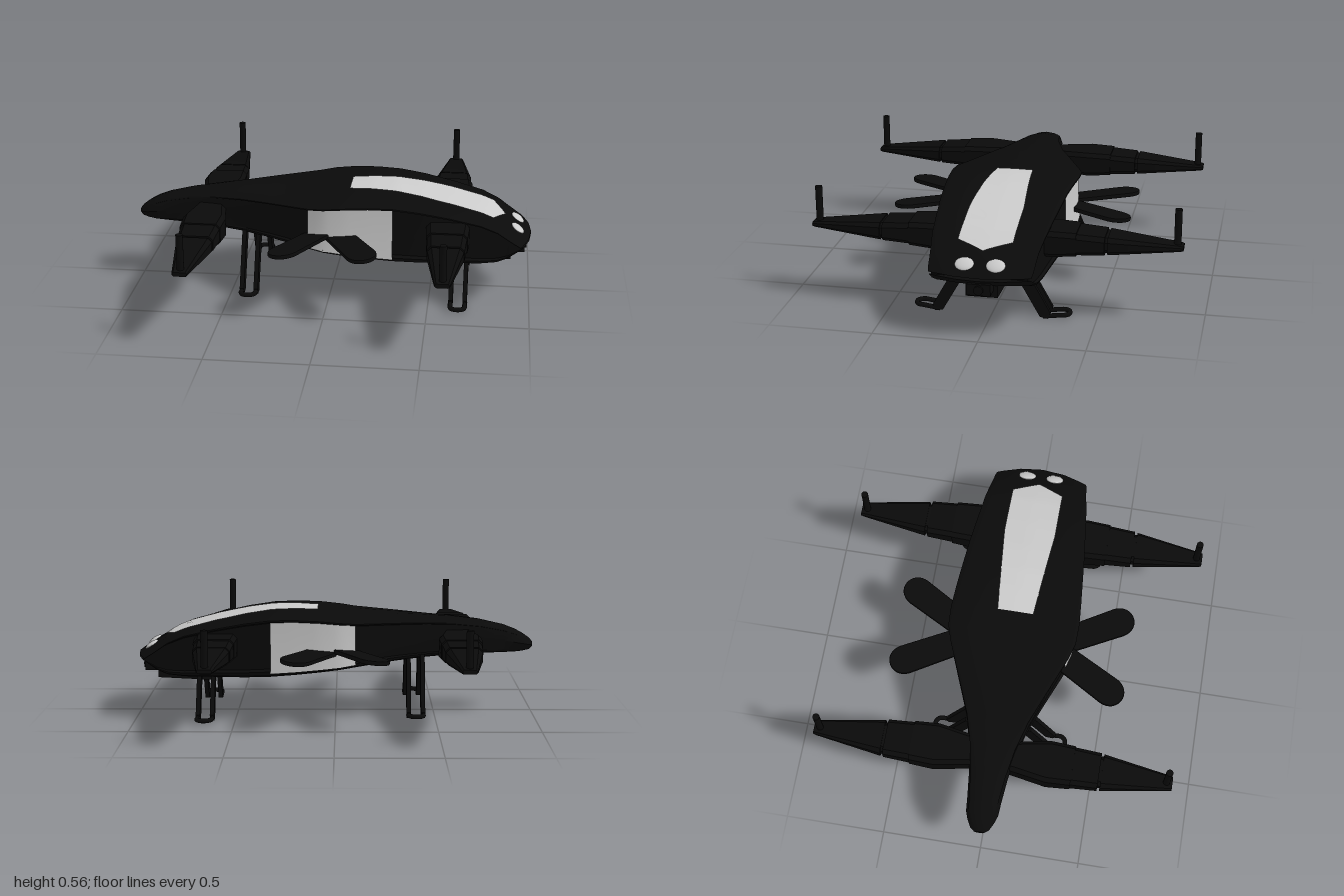
import * as THREE from 'three';
import { toCreasedNormals } from 'three/addons/utils/BufferGeometryUtils.js';

const black = new THREE.MeshStandardMaterial({ color: 0x0a0a0a });
const grey = new THREE.MeshStandardMaterial({ color: 0xcccccc, side: THREE.DoubleSide });

function mesh(name, geometry, material = black) {
  const m = new THREE.Mesh(geometry, material);
  m.name = name;
  return m;
}

// Skin stretched over rows of points; closed rows wrap round
function loft(rows, closed = true, crease = 0.6) {
  const n = rows[0].length, idx = [];
  for (let i = 0; i < rows.length - 1; i++) {
    for (let j = 0; j < (closed ? n : n - 1); j++) {
      const a = i * n + j, b = i * n + (j + 1) % n;
      idx.push(a, b, a + n, b, b + n, a + n);
    }
  }
  const g = new THREE.BufferGeometry();
  g.setAttribute('position', new THREE.Float32BufferAttribute(rows.flat(2), 3));
  g.setIndex(idx);
  return toCreasedNormals(g, crease);
}

// Close both ends of a loft with collapsed rows
function capped(rows) {
  const cap = (r) => {
    const c = [0, 1, 2].map((k) => r.reduce((s, p) => s + p[k], 0) / r.length);
    return r.map(() => c);
  };
  return [cap(rows[0]), ...rows, cap(rows[rows.length - 1])];
}

// Fuselage stations: x, half width, bottom, top, roundness
const hull = [
  [-1, 0.025, 0.335, 0.36, 1], [-0.985, 0.045, 0.32, 0.378, 1], [-0.95, 0.065, 0.312, 0.403, 0.9],
  [-0.91, 0.08, 0.308, 0.425, 0.8], [-0.85, 0.085, 0.305, 0.448, 0.7], [-0.73, 0.098, 0.302, 0.475, 0.55],
  [-0.6, 0.12, 0.3, 0.49, 0.4], [-0.45, 0.16, 0.296, 0.498, 0.25], [-0.3, 0.215, 0.29, 0.503, 0.1],
  [-0.1, 0.29, 0.272, 0.51, 0], [-0.02, 0.315, 0.262, 0.52, 0], [0.08, 0.318, 0.25, 0.531, 0],
  [0.2, 0.31, 0.236, 0.537, 0], [0.32, 0.3, 0.225, 0.534, 0], [0.45, 0.29, 0.22, 0.515, 0],
  [0.6, 0.275, 0.22, 0.483, 0], [0.75, 0.26, 0.22, 0.443, 0], [0.85, 0.248, 0.228, 0.403, 0],
  [0.92, 0.243, 0.25, 0.364, 0], [0.97, 0.24, 0.28, 0.333, 0], [1, 0.235, 0.3, 0.312, 0],
];

function station(x) {
  let i = 0;
  while (i < hull.length - 2 && hull[i + 1][0] < x) i++;
  const t = (x - hull[i][0]) / (hull[i + 1][0] - hull[i][0]);
  return hull[i].map((v, k) => v + (hull[i + 1][k] - v) * t);
}

// Point on the hull: u across (-1..1), v from bottom to top (0..1)
function skin(x, u, v) {
  const [, w, lo, hi, round] = station(x);
  const y = v * 2 - 1, l = Math.hypot(u, y);
  const k = 1 + (1 / l - 1) * round;
  const bow = 0.05 * u * u * THREE.MathUtils.smoothstep(x, 0.75, 1);
  return [x - bow, (lo + hi) / 2 + y * k * (hi - lo) / 2, u * k * w];
}

// Hull cross-section with a roof lip, recessed side and lower sill
const half = [[0.5, 0.99], [0.9, 0.965], [0.98, 0.95], [1.02, 0.93], [1.02, 0.905], [0.95, 0.88],
  [0.95, 0.5], [0.95, 0.14], [1, 0.1], [0.98, 0.04], [0.88, 0], [0.45, 0]];
const section = [[0, 1], ...half, [0, 0], ...half.map(([u, v]) => [-u, v]).reverse()];

// Eight-sided wing segment; stations: z, half chord, bottom, top
function wingPart(stations) {
  return loft(capped(stations.map(([z, h, lo, hi]) => {
    const c = Math.min(0.02, (hi - lo) * 0.3);
    return [[h, lo + c], [h, hi - c], [h - c, hi], [c - h, hi],
      [-h, hi - c], [-h, lo + c], [c - h, lo], [h - c, lo]].map(([x, y]) => [x, y, z]);
  })), true, 0.4);
}

function makeWing() {
  const g = new THREE.Group();
  g.add(mesh('wingRoot', wingPart([[0, 0.06, 0.32, 0.43], [0.1, 0.075, 0.318, 0.435],
    [0.28, 0.106, 0.313, 0.44], [0.4, 0.1, 0.322, 0.436]])));
  g.add(mesh('wingMiddle', wingPart([[0.4, 0.096, 0.327, 0.43], [0.532, 0.09, 0.333, 0.422]])));
  g.add(mesh('wingHinge', wingPart([[0.52, 0.076, 0.34, 0.415], [0.56, 0.076, 0.34, 0.415]])));
  g.add(mesh('wingOuter', wingPart([[0.545, 0.087, 0.334, 0.42], [0.88, 0.038, 0.361, 0.388],
    [0.893, 0.034, 0.364, 0.384]])));
  const mast = mesh('rotorMast', new THREE.CylinderGeometry(0.017, 0.017, 0.19, 20));
  mast.position.set(0, 0.465, 0.863);
  g.add(mast);
  return g;
}

// Leg: two slanted rails joined by a rounded skid
function makeLeg(top, base, reach) {
  const g = new THREE.Group();
  const s = new THREE.Shape([[0.1, top], [0.165, top], [0.285, base + 0.035], [0.275, base + 0.005],
    [0.235, base + 0.012]].map((p) => new THREE.Vector2(...p)));
  for (const x of [-0.035, 0.035]) {
    const rail = mesh('legRail', new THREE.ExtrudeGeometry(s, { depth: 0.022, bevelEnabled: false }));
    rail.rotation.y = -Math.PI / 2;
    rail.position.x = x + 0.011;
    g.add(rail);
  }
  const path = new THREE.CurvePath();
  const r = 0.036, y0 = base + 0.013, y1 = base + 0.025, ze = reach - 0.013 - r;
  const P = (x, y, z) => new THREE.Vector3(x, y, z);
  path.add(new THREE.LineCurve3(P(-r, y0, 0.25), P(-r, y1, ze)));
  path.add(new THREE.CubicBezierCurve3(P(-r, y1, ze), P(-r, y1, ze + r * 1.33),
    P(r, y1, ze + r * 1.33), P(r, y1, ze)));
  path.add(new THREE.LineCurve3(P(r, y1, ze), P(r, y0, 0.25)));
  g.add(mesh('skid', new THREE.TubeGeometry(path, 40, 0.012, 8)));
  return g;
}

// Rounded side blade pointing outwards along +z
function makeBlade() {
  const s = new THREE.Shape();
  s.moveTo(-0.06, 0);
  s.lineTo(0.06, 0);
  s.lineTo(0.068, 0.33);
  s.bezierCurveTo(0.065, 0.43, -0.065, 0.43, -0.068, 0.33);
  const g = new THREE.ExtrudeGeometry(s, { depth: 0.01, bevelThickness: 0.006, bevelSize: 0.006,
    bevelSegments: 2, curveSegments: 16 });
  g.rotateX(Math.PI / 2);
  g.rotateZ(0.1);
  return mesh('sideBlade', g);
}

export function createModel() {
  const model = new THREE.Group();
  model.name = 'aircraft';
  model.add(mesh('fuselage', loft(capped(hull.map(([x]) => section.map(([u, v]) => skin(x, u, v)))))));

  // Roof window with a pointed front edge
  const rows = [];
  for (let i = 0; i <= 30; i++) {
    rows.push([]);
    for (let j = -4; j <= 4; j++) {
      const x = 0.09 + (0.72 + 0.06 * (1 - Math.abs(j) / 4)) * i / 30;
      const w = 0.09 + 0.04 * Math.min(1, (x - 0.09) / 0.45);
      const u = w * j / 4 / station(x)[1];
      const p = skin(x, u, 1 - 0.02 * Math.abs(u));
      p[1] += 0.007;
      rows[i].push(p);
    }
  }
  model.add(mesh('roofWindow', loft(rows, false), grey));

  for (const side of [1, -1]) {
    const half = new THREE.Group();
    half.name = side > 0 ? 'rightHalf' : 'leftHalf';
    half.scale.z = side;

    // Side door set between roof lip and sill
    const door = [];
    for (let i = 0; i <= 12; i++) {
      const x = -0.1 + 0.42 * i / 12;
      door.push([0.9, 0.5, 0.07].map((v) => {
        const p = skin(x, 0.95, v);
        p[2] += v < 0.1 ? 0.018 : 0.008;
        return p;
      }));
    }
    half.add(mesh('sideDoor', loft(door, false), grey));

    for (const [name, x] of [['frontWing', 0.59], ['rearWing', -0.615]]) {
      const wing = makeWing();
      wing.name = name;
      wing.position.x = x;
      half.add(wing);
    }
    for (const [name, x, top, base, reach] of [['frontLeg', 0.648, 0.25, 0, 0.385],
      ['rearLeg', -0.4, 0.32, 0.015, 0.353]]) {
      const leg = makeLeg(top, base, reach);
      leg.name = name;
      leg.position.x = x;
      half.add(leg);
    }
    for (const dir of [1, -1]) {
      const blade = makeBlade();
      blade.position.set(0.025 * dir, 0.358, 0.23);
      blade.rotation.y = 0.51 * dir;
      half.add(blade);
    }

    const lamp = mesh('headlamp', new THREE.SphereGeometry(1, 24, 16), grey);
    lamp.scale.set(0.037, 0.012, 0.045);
    lamp.position.set(0.932, 0.354, 0.073);
    lamp.rotation.z = -0.6;
    half.add(lamp);
    model.add(half);
  }

  // Camera pod under the nose
  const pod = mesh('cameraPod', new THREE.BoxGeometry(0.28, 0.08, 0.15));
  pod.position.set(0.76, 0.217, 0);
  pod.rotation.z = 0.05;
  const housing = mesh('cameraHousing', new THREE.BoxGeometry(0.12, 0.055, 0.11));
  housing.position.set(0.91, 0.245, 0);
  const lens = mesh('cameraLens', new THREE.CylinderGeometry(0.022, 0.022, 0.02, 20));
  lens.rotation.z = Math.PI / 2;
  lens.position.set(0.97, 0.245, 0);
  model.add(pod, housing, lens);
  return model;
}
